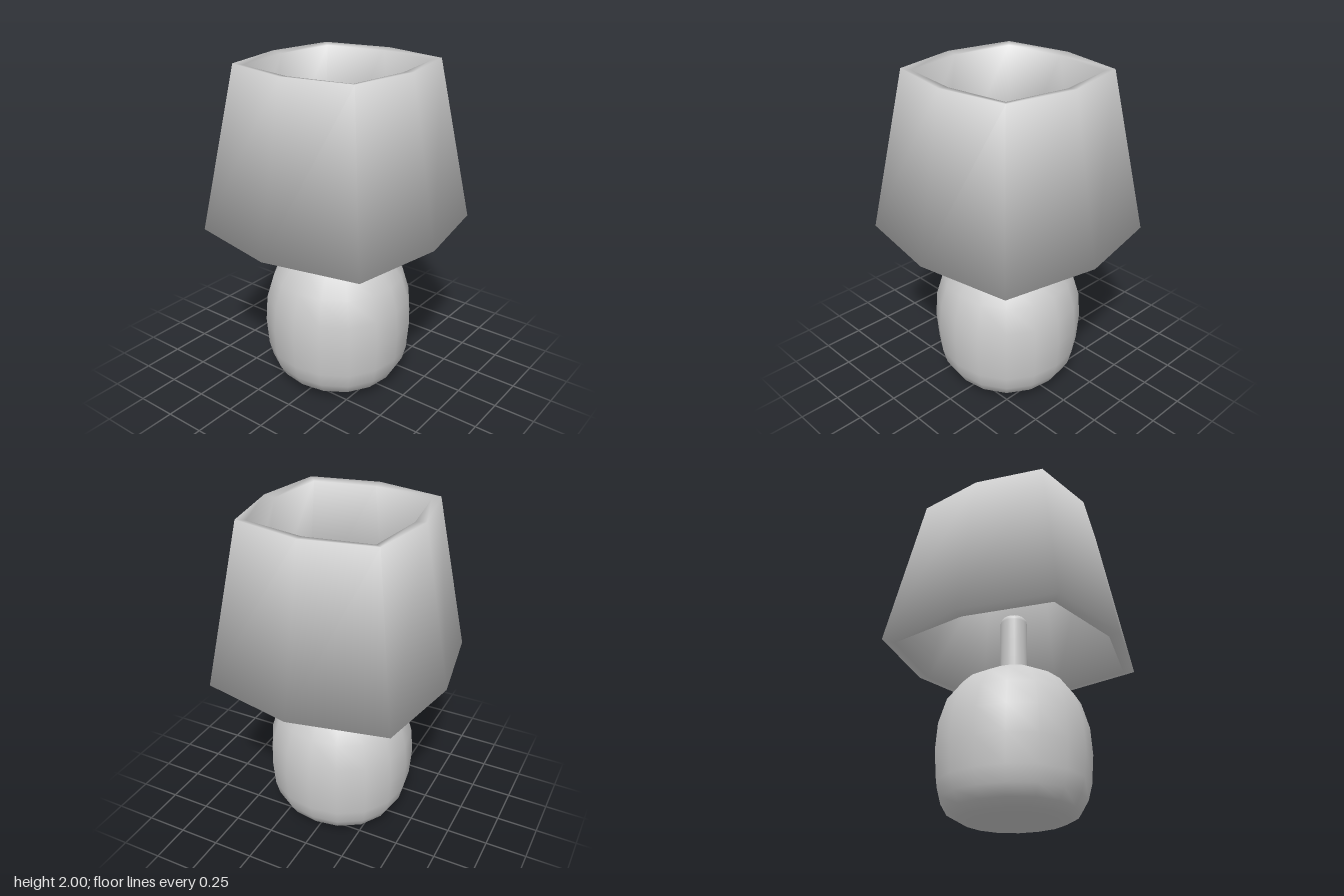
import * as THREE from 'three';

const grey = new THREE.MeshStandardMaterial({ color: 0xcccccc });
grey.name = 'plainGrey';

function lathe(name, points, sides) {
  const geo = new THREE.LatheGeometry(points.map(([r, y]) => new THREE.Vector2(r, y)), sides);
  const mesh = new THREE.Mesh(geo, grey);
  mesh.name = name;
  return mesh;
}

// Eight-sided shell with softly blended edges.
// Each ring: half width, half depth, corner offset, height, normal outward, normal up
function makeShade() {
  const rings = [
    [0.60, 0.615, 0.51, 1.022, -0.57, -0.82],
    [0.663, 0.682, 0.562, 1.035, 0.82, -0.57],
    [0.485, 0.497, 0.41, 2.0, 0.57, 0.82],
    [0.42, 0.435, 0.368, 1.99, -0.82, 0.57],
  ];
  const pos = [], nor = [], index = [];
  for (const [w, d, c, y, out, up] of rings) {
    for (let i = 0; i < 8; i++) {
      const a = i * Math.PI / 4, sx = Math.sin(a), sz = Math.cos(a);
      if (i % 2) pos.push(Math.sign(sx) * c, y, Math.sign(sz) * c);
      else pos.push(sx * w, y, sz * d);
      nor.push(sx * out, up, sz * out);
    }
  }
  for (let r = 0; r < 4; r++) {
    for (let i = 0; i < 8; i++) {
      const j = (i + 1) % 8, lo = r * 8, hi = ((r + 1) % 4) * 8;
      index.push(lo + i, lo + j, hi + j, lo + i, hi + j, hi + i);
    }
  }
  const geo = new THREE.BufferGeometry();
  geo.setAttribute('position', new THREE.Float32BufferAttribute(pos, 3));
  geo.setAttribute('normal', new THREE.Float32BufferAttribute(nor, 3));
  geo.setIndex(index);
  const mesh = new THREE.Mesh(geo, grey);
  mesh.name = 'lampShade';
  return mesh;
}

export function createModel() {
  const model = new THREE.Group();
  model.name = 'tableLamp';

  // Rounded body, very slightly squared at the diagonals
  const body = lathe('lampBody', [
    [0, 0], [0.17, 0.012], [0.30, 0.035], [0.37, 0.075], [0.407, 0.14], [0.43, 0.23],
    [0.443, 0.4], [0.432, 0.56], [0.388, 0.71], [0.3, 0.83], [0.165, 0.905], [0, 0.92],
  ], 16);
  const p = body.geometry.attributes.position;
  for (let i = 0; i < p.count; i++) {
    const x = p.getX(i), z = p.getZ(i), r2 = x * x + z * z;
    const k = r2 > 1e-6 ? 1 + 0.03 * Math.pow(2 * x * z / r2, 2) : 1;
    p.setX(i, x * k);
    p.setZ(i, z * k);
  }
  model.add(body);

  // Neck with a rounded top, inside the shade
  const neck = [[0.081, 0.88], [0.081, 1.0], [0.081, 1.12]];
  for (let i = 0; i <= 5; i++) {
    const a = i * Math.PI / 10;
    neck.push([0.041 + 0.04 * Math.cos(a), 1.25 + 0.04 * Math.sin(a)]);
  }
  neck.push([0, 1.29]);
  model.add(lathe('lampNeck', neck, 24));

  model.add(makeShade());
  return model;
}
